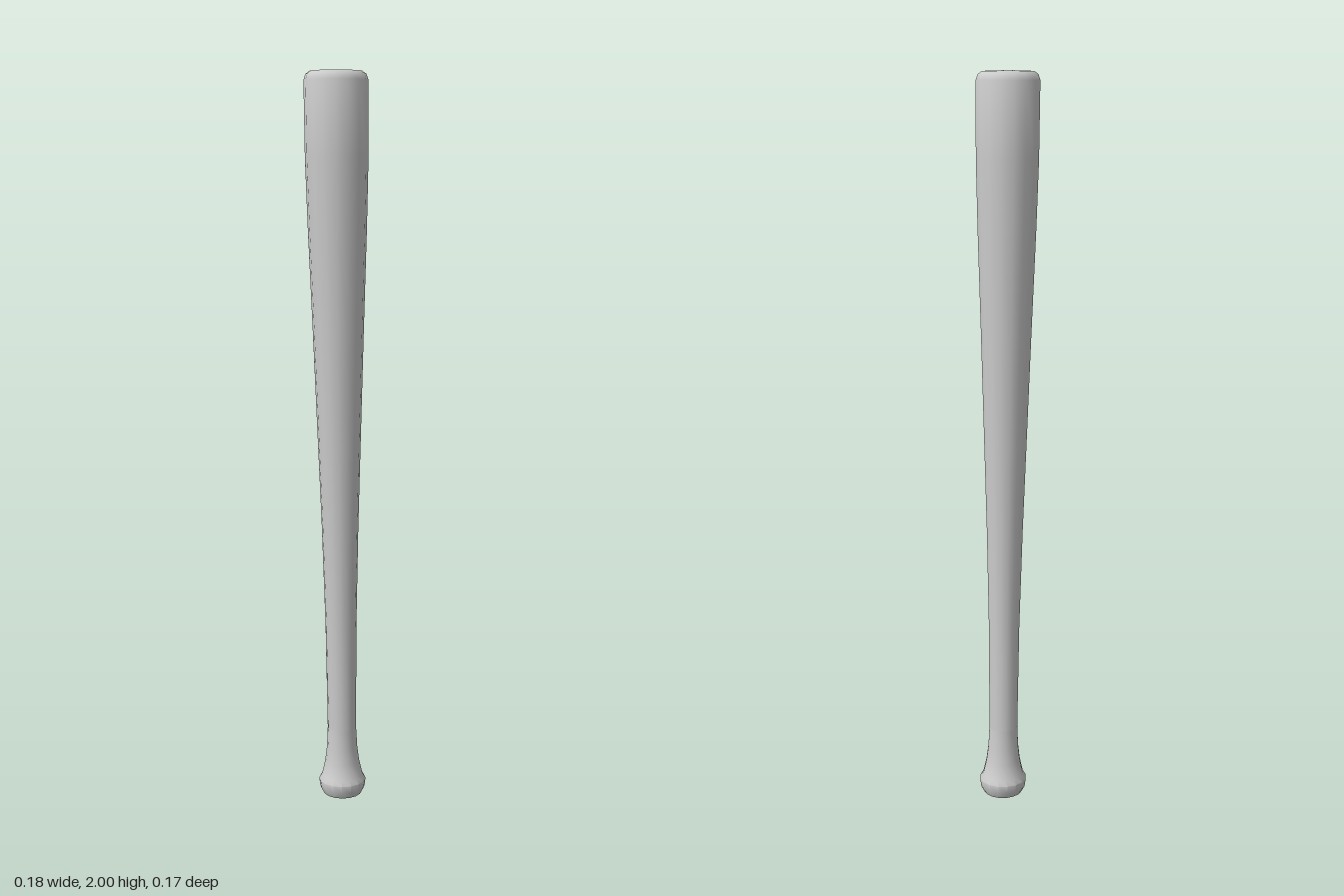
import * as THREE from 'three';
import { toCreasedNormals } from 'three/addons/utils/BufferGeometryUtils.js';

const SIDES = 16;

// Turned shape from [radius, height] pairs, sheared so the axis leans slightly in x
function turned(name, profile, material) {
  const geometry = new THREE.LatheGeometry(profile.map(([r, y]) => new THREE.Vector2(r, y)), SIDES);
  const pos = geometry.attributes.position;
  for (let i = 0; i < pos.count; i++) {
    pos.setX(i, pos.getX(i) + 0.021 - 0.013 * pos.getY(i));
  }
  const mesh = new THREE.Mesh(toCreasedNormals(geometry, 0.75), material);
  mesh.name = name;
  return mesh;
}

export function createModel() {
  const group = new THREE.Group();
  group.name = 'bat';
  const grey = new THREE.MeshStandardMaterial({ color: 0xcccccc });
  grey.name = 'plain grey';

  // Knob with a flat end, flaring out of the handle
  group.add(turned('knob', [
    [0, 0], [0.054, 0.005], [0.063, 0.022], [0.066, 0.045], [0.057, 0.06],
    [0.048, 0.1], [0.043, 0.14], [0.04, 0.2],
  ], grey));

  // Handle widening into the barrel, closed by a bevelled end
  group.add(turned('handleAndBarrel', [
    [0.04, 0.2], [0.043, 0.5], [0.05, 0.78], [0.058, 1.02], [0.068, 1.32],
    [0.078, 1.6], [0.083, 1.78], [0.084, 1.975], [0.079, 1.99], [0.068, 1.998], [0, 2],
  ], grey));

  return group;
}
